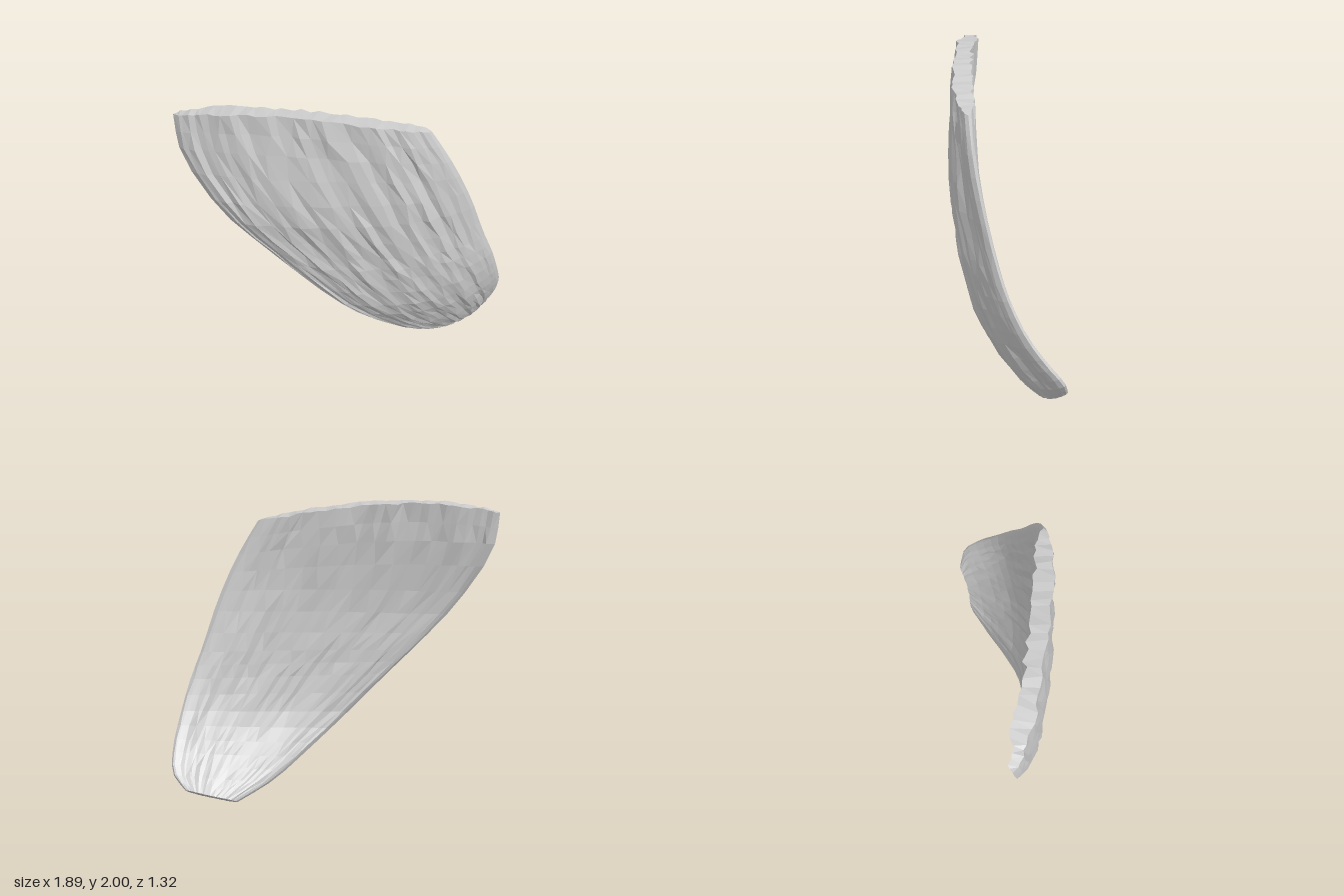
import * as THREE from 'three';

const COLS = 34, ROWS = 18;

// small seeded random
function seeded(seed) {
  return () => {
    seed = (seed * 1664525 + 1013904223) % 4294967296;
    return seed / 4294967296;
  };
}

const curve = pts => new THREE.CatmullRomCurve3(pts.map(p => new THREE.Vector3(...p)));

// long edges of the shell, from the broken top to the rounded tip
const leftEdge = curve([
  [-0.94, 1.945, -0.655], [-0.937, 1.7, -0.61], [-0.81, 1.3, -0.405], [-0.605, 1.0, -0.23], [-0.455, 0.8, -0.105],
  [-0.205, 0.5, 0.06], [0.05, 0.285, 0.145], [0.3, 0.115, 0.2], [0.57, 0.01, 0.25]]);
const rightEdge = curve([
  [0.17, 1.86, 0.505], [0.295, 1.6, 0.59], [0.42, 1.32, 0.638], [0.55, 1.0, 0.655], [0.65, 0.8, 0.657],
  [0.765, 0.58, 0.62], [0.875, 0.4, 0.552], [0.942, 0.25, 0.462], [0.9, 0.14, 0.385]]);
// x: bulge of the middle, y: half thickness
const section = curve([
  [0.052, 0.058, 0], [0.074, 0.058, 0], [0.09, 0.058, 0], [0.102, 0.058, 0], [0.11, 0.058, 0],
  [0.104, 0.058, 0], [0.09, 0.058, 0], [0.072, 0.056, 0], [0.035, 0.045, 0]]);

function shellGeometry() {
  const rand = seeded(7);
  const ring = 2 * COLS;
  const pos = [], index = [];
  // each lengthwise ridge keeps its own height, drifting slowly down the shell
  const ridge = Array.from({ length: ring }, () => ({ h: rand() - 0.5, phase: rand() * 6.28, shift: rand() - 0.5 }));

  for (let r = 0; r <= ROWS; r++) {
    const v = r / ROWS;
    const L = leftEdge.getPoint(v), R = rightEdge.getPoint(v), s = section.getPoint(v);
    const out = new THREE.Vector3(-0.6, -0.6 * v, 0.78).normalize();
    for (let k = 0; k < ring; k++) {
      const outer = k <= COLS;
      const a = (outer ? k : ring - k) / COLS;
      const rim = k === 0 || k === COLS;
      const g = ridge[k];
      let u = 0.55 * a + 0.45 * (0.5 - 0.5 * Math.cos(Math.PI * a));
      if (!rim) u = THREE.MathUtils.clamp(u + (0.4 * g.shift + 0.4 * (rand() - 0.5)) / COLS, 0.004, 0.996);
      const body = Math.sqrt(1 - Math.abs(2 * u - 1) ** 5);
      const bulge = s.x * Math.sin(Math.PI * u ** 1.15);
      // ridges fade toward the tip, most on the hollow side, and along the smooth right rim
      const fade = rim ? 0 : body * (1 - (outer ? 0.5 : 0.8) * v) * Math.min(1, 8 * (1 - u));
      const rough = fade * (0.022 * g.h + 0.01 * Math.sin(g.phase + v * 12) + 0.014 * (rand() - 0.5));
      const p = L.clone().lerp(R, u).addScaledVector(out, bulge + (outer ? 1 : -1) * s.y * body + rough);
      // arched, uneven top rim
      p.y += 0.085 * Math.sin(Math.PI * u ** 0.8) * Math.max(0, 1 - 4 * v);
      if (r === 0) p.y += 0.012 * (rand() - 0.5);
      pos.push(p.x, p.y, p.z);
    }
  }

  // walls
  for (let r = 0; r < ROWS; r++) {
    for (let k = 0; k < ring; k++) {
      const a = r * ring + k, b = r * ring + (k + 1) % ring, c = a + ring, d = b + ring;
      if ((r + k) % 2) index.push(a, c, b, b, c, d);
      else index.push(a, c, d, a, d, b);
    }
  }
  // top break and tip, bridged between outer and inner faces
  for (const [base, top] of [[0, true], [ROWS * ring, false]]) {
    for (let k = 0; k < COLS; k++) {
      const a = base + k, b = a + 1, c = base + (ring - k - 1) % ring, d = base + (ring - k) % ring;
      const tris = k === 0 ? [[a, b, c]] : k === COLS - 1 ? [[a, b, d]] : [[a, b, c], [a, c, d]];
      for (const [i, j, m] of tris) top ? index.push(i, j, m) : index.push(i, m, j);
    }
  }

  const smooth = new THREE.BufferGeometry();
  smooth.setAttribute('position', new THREE.Float32BufferAttribute(pos, 3));
  smooth.setIndex(index);
  // faceted normals
  const geo = smooth.toNonIndexed();
  geo.computeVertexNormals();
  return geo;
}

export function createModel() {
  const paleGrey = new THREE.MeshStandardMaterial({ color: 0xcccccc });
  paleGrey.name = 'paleGrey';
  const group = new THREE.Group();
  group.name = 'curvedShell';
  const shell = new THREE.Mesh(shellGeometry(), paleGrey);
  shell.name = 'ridgedShell';
  group.add(shell);
  return group;
}
